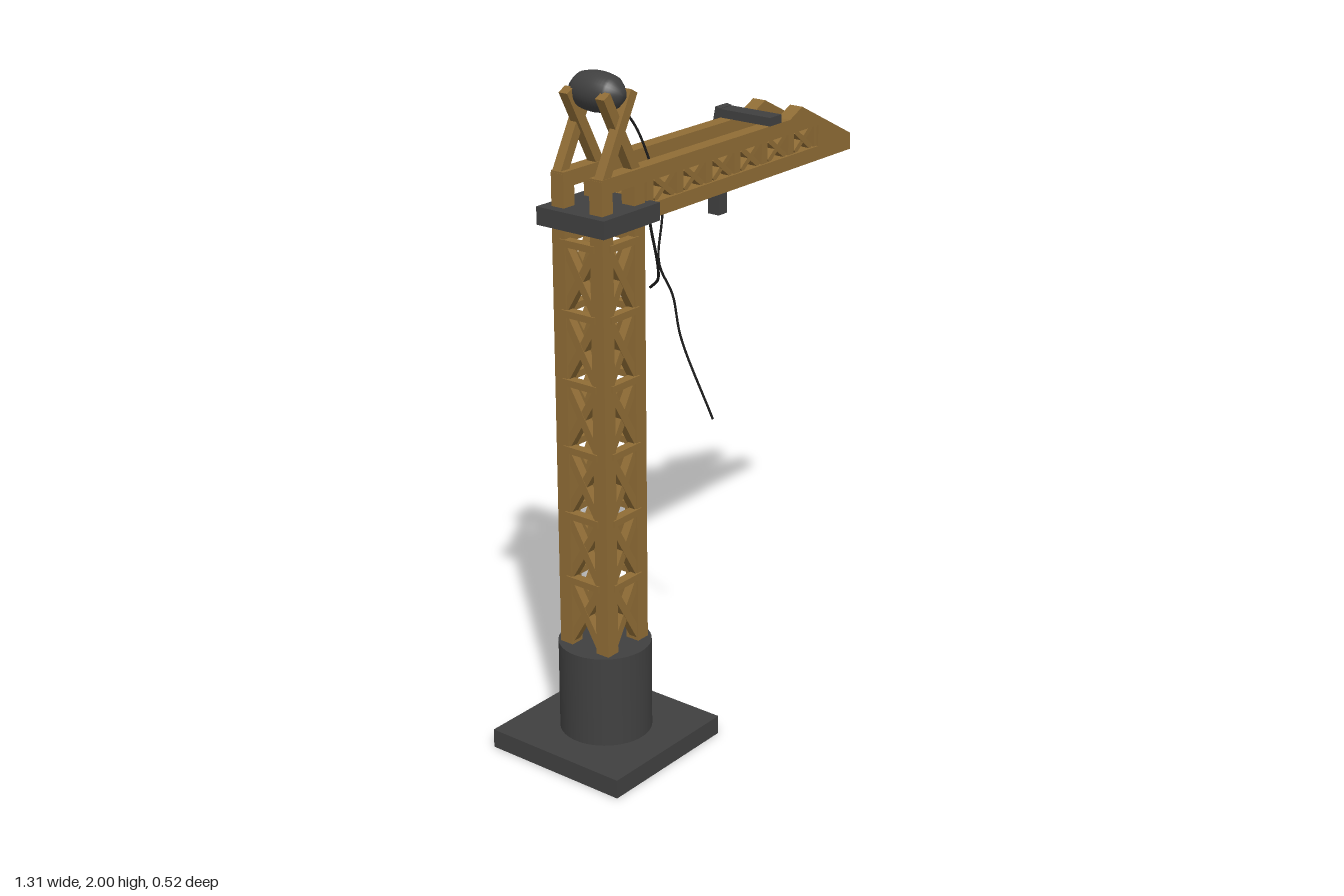
import * as THREE from 'three';

const wood = new THREE.MeshStandardMaterial({ color: 0x8f6c35 });
const dark = new THREE.MeshStandardMaterial({ color: 0x404040 });
const black = new THREE.MeshStandardMaterial({ color: 0x1e1e1e });

const CX = -0.42, CZ = 0.021; // tower axis
const HALF = 0.067; // axis to post centre
const POST = 0.044;

function add(parent, name, geometry, material) {
  const mesh = new THREE.Mesh(geometry, material);
  mesh.name = name;
  parent.add(mesh);
  return mesh;
}

// Box given by its minimum and maximum on each axis
function block(parent, name, material, x0, x1, y0, y1, z0, z1) {
  const mesh = add(parent, name, new THREE.BoxGeometry(x1 - x0, y1 - y0, z1 - z0), material);
  mesh.position.set((x0 + x1) / 2, (y0 + y1) / 2, (z0 + z1) / 2);
  return mesh;
}

// Flat bar in an xy plane between two points
function bar(parent, name, x0, y0, x1, y1, z, width, depth) {
  const length = Math.hypot(x1 - x0, y1 - y0);
  const mesh = add(parent, name, new THREE.BoxGeometry(length, width, depth), wood);
  mesh.position.set((x0 + x1) / 2, (y0 + y1) / 2, z);
  mesh.rotation.z = Math.atan2(y1 - y0, x1 - x0);
}

function cross(parent, name, x0, x1, y0, y1, z, width, depth) {
  bar(parent, name, x0, y0, x1, y1, z, width, depth);
  bar(parent, name, x0, y1, x1, y0, z + 0.001, width, depth);
}

function buildBase() {
  const base = new THREE.Group();
  base.name = 'base';
  block(base, 'footPlate', dark, CX - 0.234, CX + 0.234, 0, 0.057, CZ + 0.003 - 0.234, CZ + 0.003 + 0.234);
  const drum = add(base, 'pedestal', new THREE.CylinderGeometry(0.135, 0.135, 0.28, 48), dark);
  drum.position.set(CX, 0.195, CZ + 0.002);
  return base;
}

function buildTower() {
  const tower = new THREE.Group();
  tower.name = 'tower';
  tower.position.set(CX, 0, CZ);
  for (const sx of [-1, 1]) for (const sz of [-1, 1]) {
    const post = add(tower, 'post', new THREE.BoxGeometry(POST, 1.4, POST), wood);
    post.position.set(sx * HALF, 1.03, sz * HALF);
  }
  // Cross-braced bays on all four faces
  for (let side = 0; side < 4; side++) {
    const face = new THREE.Group();
    face.name = 'latticeFace';
    face.rotation.y = side * Math.PI / 2;
    for (let i = 0; i < 6; i++) {
      const y = 0.34 + i * 0.2;
      cross(face, 'brace', -0.053, 0.053, y + 0.012, y + 0.188, HALF + 0.004, 0.024, 0.026);
      bar(face, 'crossbar', -0.06, y + 0.2, 0.06, y + 0.2, HALF + 0.012, 0.02, 0.028);
    }
    tower.add(face);
  }
  // Collar below the jib
  block(tower, 'collar', dark, -0.118, 0.118, 1.585, 1.636, -0.118, 0.118);
  return tower;
}

function buildJibSide(z) {
  const side = new THREE.Group();
  side.name = 'jibSide';
  const z0 = z - POST / 2, z1 = z + POST / 2;
  block(side, 'upperBeam', wood, -0.508, 0.36, 1.692, 1.735, z0, z1);
  block(side, 'lowerBeam', wood, -0.34, 0.5, 1.585, 1.628, z0, z1);
  // Raised, tapering nose
  const nose = new THREE.Shape([
    [0.34, 1.692], [0.34, 1.735], [0.4, 1.763], [0.655, 1.635], [0.655, 1.585],
    [0.485, 1.585], [0.485, 1.692],
  ].map(([x, y]) => new THREE.Vector2(x, y)));
  const noseGeometry = new THREE.ExtrudeGeometry(nose, { depth: POST, bevelEnabled: false });
  add(side, 'nose', noseGeometry, wood).position.z = z0;
  // Lattice between the beams
  const start = -0.3, bay = 0.131;
  for (let i = 0; i <= 6; i++) {
    const x = start + i * bay;
    block(side, 'upright', wood, x - 0.014, x + 0.014, 1.62, 1.7, z - 0.016, z + 0.016);
    if (i < 6) cross(side, 'jibBrace', x + 0.025, x + bay - 0.025, 1.629, 1.691, z, 0.016, 0.026);
  }
  return side;
}

function buildHead() {
  const head = new THREE.Group();
  head.name = 'winchHead';
  // Crossed legs carrying the drum
  for (const s of [-1, 1]) {
    const z = CZ + s * HALF;
    bar(head, 'leg', CX - 0.073, 1.722, CX + 0.05, 1.95, z + s * 0.006, 0.03, 0.03);
    bar(head, 'leg', CX + 0.073, 1.722, CX - 0.05, 1.95, z - s * 0.004, 0.03, 0.03);
  }
  // Rope drum with ridged windings and tapered ends
  const profile = [[0, -0.088], [0.018, -0.086], [0.038, -0.066]];
  const turns = 13;
  for (let i = 0; i <= turns * 2; i++) {
    const t = -1 + i / turns;
    profile.push([0.056 - 0.01 * t * t - (i % 2 ? 0 : 0.004), t * 0.058]);
  }
  profile.push([0.038, 0.066], [0.018, 0.086], [0, 0.088]);
  const points = profile.map(([r, y]) => new THREE.Vector2(r, y));
  const drum = add(head, 'ropeDrum', new THREE.LatheGeometry(points, 28), dark);
  drum.rotation.x = Math.PI / 2;
  drum.position.set(CX + 0.003, 1.945, CZ);
  return head;
}

function buildTrolley() {
  const trolley = new THREE.Group();
  trolley.name = 'trolley';
  block(trolley, 'topStrap', dark, 0.233, 0.29, 1.737, 1.762, -0.08, 0.115);
  const strap = add(trolley, 'sideStrap', new THREE.BoxGeometry(0.056, 0.19, 0.018), dark);
  strap.position.set(0.262, 1.672, -0.092);
  strap.rotation.x = 0.19;
  block(trolley, 'hangingBar', dark, 0.231, 0.271, 1.44, 1.6, -0.106, -0.066);
  return trolley;
}

function rope(parent, name, points, radius) {
  const curve = new THREE.CatmullRomCurve3(points.map((p) => new THREE.Vector3(...p)));
  add(parent, name, new THREE.TubeGeometry(curve, 60, radius, 6), black);
}

export function createModel() {
  const model = new THREE.Group();
  model.name = 'towerCrane';
  model.add(buildBase(), buildTower(), buildHead(), buildTrolley());

  const jib = new THREE.Group();
  jib.name = 'jib';
  for (const s of [-1, 1]) jib.add(buildJibSide(CZ + s * HALF));
  model.add(jib);

  // Loose ropes hanging from the drum
  rope(model, 'backRope', [
    [-0.38, 1.93, 0.01], [-0.28, 1.84, -0.035], [-0.17, 1.74, -0.078], [-0.07, 1.585, -0.108],
    [0, 1.43, -0.135], [0.07, 1.31, -0.17], [0.12, 1.24, -0.21], [0.147, 1.2, -0.26],
  ], 0.0045);
  rope(model, 'frontRope', [
    [-0.38, 1.93, 0.03], [-0.28, 1.83, 0.035], [-0.23, 1.71, 0.05], [-0.197, 1.585, 0.062],
    [-0.187, 1.42, 0.042], [-0.135, 1.31, 0.05], [-0.113, 1.18, 0.062], [-0.055, 0.93, 0.133],
  ], 0.0035);
  return model;
}
